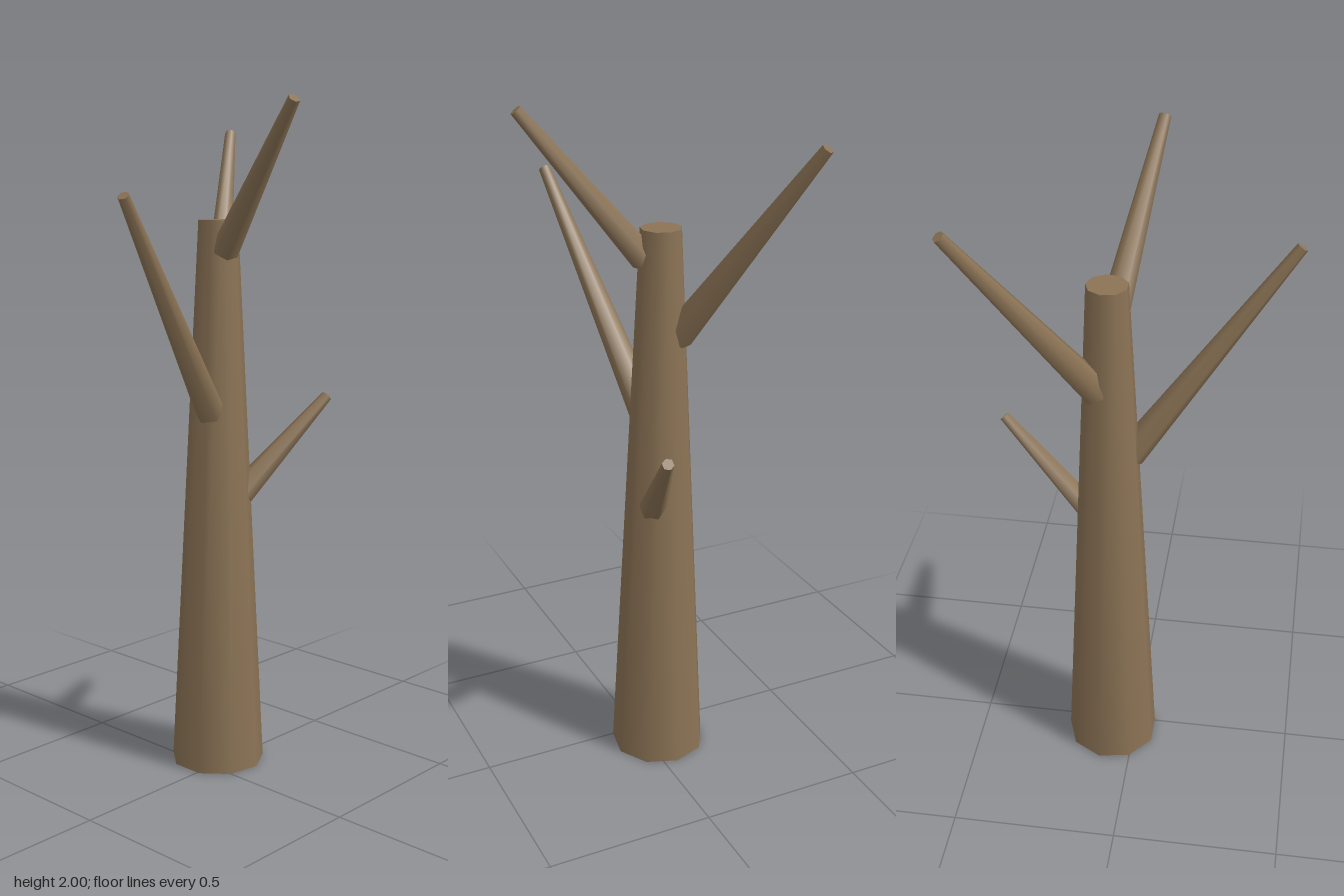
import * as THREE from 'three';

const bark = new THREE.MeshStandardMaterial({ color: 0x8b7355 });
const UP = new THREE.Vector3(0, 1, 0);

// Tapered limb running from one point to another
function limb(name, from, to, baseRadius, tipRadius, sides) {
  const start = new THREE.Vector3(...from);
  const end = new THREE.Vector3(...to);
  const axis = end.clone().sub(start);
  const length = axis.length();
  const geometry = new THREE.CylinderGeometry(tipRadius, baseRadius, length, sides);
  geometry.translate(0, length / 2, 0);
  const mesh = new THREE.Mesh(geometry, bark);
  mesh.name = name;
  mesh.position.copy(start);
  mesh.quaternion.setFromUnitVectors(UP, axis.normalize());
  return mesh;
}

export function createModel() {
  const tree = new THREE.Group();
  tree.name = 'bareTree';

  // Nine-sided trunk with a corner pointing to the back
  const trunk = limb('trunk', [-0.042, 0, -0.072], [-0.042, 1.66, -0.072], 0.143, 0.059, 9);
  trunk.rotation.y = Math.PI;
  tree.add(trunk);

  // Bare branches: name, root, tip, root radius
  const branches = [
    ['lowBackBranch', [0.005, 0.845, -0.125], [0.1, 1.118, -0.411], 0.041],
    ['frontBranch', [-0.02, 1.1, -0.018], [0.097, 1.737, 0.432], 0.046],
    ['highBackBranch', [-0.08, 1.35, -0.1], [-0.329, 1.916, -0.435], 0.046],
    ['topLeftBranch', [0, 1.572, -0.056], [0.33, 1.987, 0.032], 0.041],
  ];
  for (const [name, root, tip, radius] of branches) {
    tree.add(limb(name, root, tip, radius, 0.017, 6));
  }
  return tree;
}
